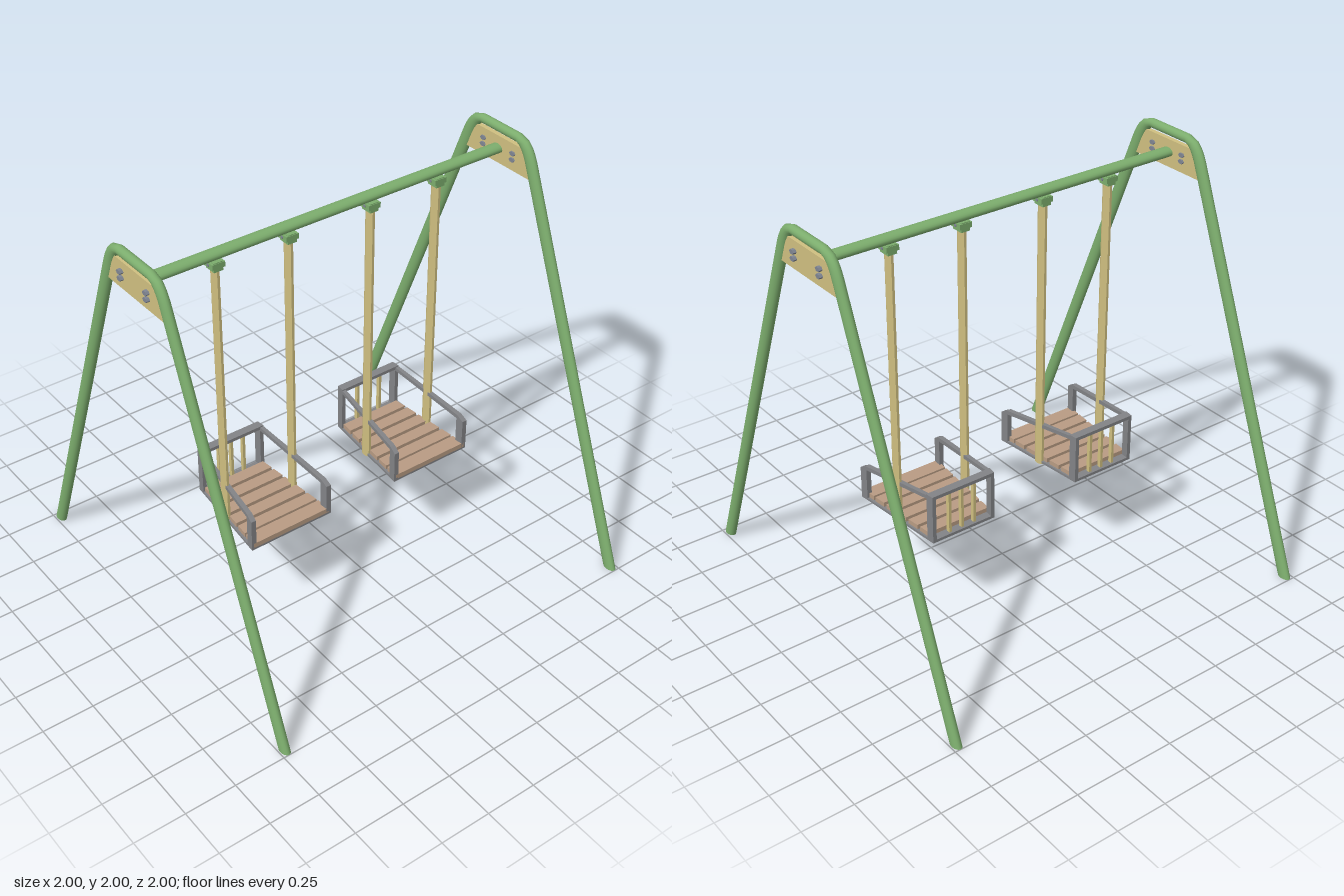
import * as THREE from 'three';

const material = (name, color) => {
  const m = new THREE.MeshStandardMaterial({ color });
  m.name = name;
  return m;
};

export function createModel() {
  const green = material('green paint', 0x7cad6d);
  const tan = material('tan', 0xcfbf80);
  const wood = material('seat wood', 0xb89b83);
  const grey = material('grey metal', 0x828386);
  const steel = material('bolt steel', 0x7f8592);

  const root = new THREE.Group();
  root.name = 'swingSet';
  const add = (parent, name, geometry, mat, x = 0, y = 0, z = 0) => {
    const mesh = new THREE.Mesh(geometry, mat);
    mesh.name = name;
    mesh.position.set(x, y, z);
    parent.add(mesh);
    return mesh;
  };

  const DEPTH = 1.5;   // round tubes are oval, wider along z
  const R = 0.0225;    // frame tube radius
  const SLOPE = 0.4;   // leg spread per unit of height

  // Bent A-frame tube: leg, rounded shoulder, flat top, shoulder, leg
  const v = (z, y) => new THREE.Vector3(0, y, z / DEPTH);
  const path = new THREE.CurvePath();
  path.add(new THREE.LineCurve3(v(0.965, 0), v(0.215, 1.875)));
  path.add(new THREE.QuadraticBezierCurve3(v(0.215, 1.875), v(0.174, 1.9775), v(0.12, 1.9775)));
  path.add(new THREE.LineCurve3(v(0.12, 1.9775), v(-0.12, 1.9775)));
  path.add(new THREE.QuadraticBezierCurve3(v(-0.12, 1.9775), v(-0.174, 1.9775), v(-0.215, 1.875)));
  path.add(new THREE.LineCurve3(v(-0.215, 1.875), v(-0.965, 0)));
  const SEGS = 160, SIDES = 16;
  const frameGeo = new THREE.TubeGeometry(path, SEGS, R, SIDES, false);
  frameGeo.scale(1, 1, DEPTH);
  // Slide the end rings along the legs so the feet are cut flat on the ground
  const fp = frameGeo.attributes.position;
  for (let i = 0; i < fp.count; i++) {
    const ring = Math.floor(i / (SIDES + 1));
    if (ring !== 0 && ring !== SEGS) continue;
    const side = ring === 0 ? 1 : -1;
    fp.setXYZ(i, fp.getX(i), 0, fp.getZ(i) + side * SLOPE * fp.getY(i));
  }
  const footGeo = new THREE.CircleGeometry(R, SIDES).rotateX(Math.PI / 2).scale(1, 1, 0.035 / R);

  // Gusset plate filling the top of each A-frame
  const plateShape = new THREE.Shape([
    new THREE.Vector2(-0.222, 1.805), new THREE.Vector2(0.222, 1.805),
    new THREE.Vector2(0.168, 1.94), new THREE.Vector2(-0.168, 1.94),
  ]);
  const plateGeo = new THREE.ExtrudeGeometry(plateShape, { depth: 0.024, bevelEnabled: false });
  plateGeo.translate(0, 0, -0.012).rotateY(Math.PI / 2);
  const boltGeo = new THREE.CylinderGeometry(0.0115, 0.0115, 0.048, 6)
    .rotateZ(Math.PI / 2).scale(1, 1, DEPTH).toNonIndexed();
  boltGeo.computeVertexNormals();

  for (const s of [1, -1]) {
    const end = new THREE.Group();
    end.name = s > 0 ? 'leftFrame' : 'rightFrame';
    end.position.x = s * 0.972;
    root.add(end);
    add(end, 'frameTube', frameGeo, green);
    add(end, 'frontFoot', footGeo, green, 0, 0, 0.965);
    add(end, 'backFoot', footGeo, green, 0, 0, -0.965);
    add(end, 'gussetPlate', plateGeo, tan);
    for (const z of [0.1, -0.1])
      for (const y of [1.86, 1.892]) add(end, 'bolt', boltGeo, steel, s * 0.004, y, z);
  }

  // Crossbar
  const barGeo = new THREE.CylinderGeometry(R, R, 1.95, 20).rotateZ(Math.PI / 2).scale(1, 1, DEPTH);
  add(root, 'crossbar', barGeo, green, 0, 1.878, -0.004);

  // Seat parts narrow towards the back
  const taper = (geo) => {
    const p = geo.attributes.position;
    for (let i = 0; i < p.count; i++) p.setX(i, p.getX(i) * (1 + 0.51 * p.getZ(i)));
    geo.computeVertexNormals();
    return geo;
  };
  const block = (w, h, d, x, y, z) => taper(new THREE.BoxGeometry(w, h, d).translate(x, y, z));

  // Side frame outline in (z, y), with an open middle
  const pts = (list) => list.map(([z, y]) => new THREE.Vector2(z, y));
  const sideShape = new THREE.Shape(pts([
    [0.257, 0.455], [0.257, 0.62], [0.22, 0.642], [-0.252, 0.702], [-0.252, 0.455],
  ]));
  sideShape.holes.push(new THREE.Path(pts([
    [0.215, 0.467], [0.215, 0.622], [-0.212, 0.678], [-0.212, 0.467],
  ])));
  const sideFrame = (x) => {
    const g = new THREE.ExtrudeGeometry(sideShape, { depth: 0.022, bevelEnabled: false });
    return taper(g.rotateY(-Math.PI / 2).translate(x + 0.011, 0, 0));
  };

  const HANG = 0.188; // hanger offset from the seat centre
  const hangerGeo = new THREE.CylinderGeometry(0.0165, 0.0165, 1.38, 8)
    .rotateY(Math.PI / 8).scale(1, 1, DEPTH * 1.15).toNonIndexed();
  hangerGeo.computeVertexNormals();

  const makeSwing = (name, x) => {
    const swing = new THREE.Group();
    swing.name = name;
    swing.position.x = x;
    root.add(swing);

    // Hangers with brackets clamped under the crossbar
    for (const s of [1, -1]) {
      const hx = s * HANG;
      add(swing, 'hanger', hangerGeo, tan, hx, 1.14, 0);
      add(swing, 'bracketPlate', new THREE.BoxGeometry(0.064, 0.026, 0.066), green, hx, 1.838, 0);
      add(swing, 'bracketBlock', new THREE.BoxGeometry(0.046, 0.045, 0.06), green, hx, 1.832, 0);
      add(swing, 'bracketPin', new THREE.CylinderGeometry(0.007, 0.007, 0.07, 8).rotateZ(Math.PI / 2),
        steel, hx, 1.838, 0);
    }

    // Seat slats and the support running under them
    for (let i = 0; i < 6; i++) {
      const z = -0.18 + i * 0.08;
      add(swing, 'seatSlat', block(0.372, 0.025, i === 5 ? 0.074 : 0.062, 0, 0.4775, z), wood);
    }
    add(swing, 'seatSupport', new THREE.BoxGeometry(0.013, 0.01, 0.46), tan, 0, 0.46, 0);

    // Metal surround
    for (const s of [1, -1]) add(swing, 'sideFrame', sideFrame(s * 0.185), grey);
    add(swing, 'backTopRail', block(0.392, 0.017, 0.042, 0, 0.6935, -0.231), grey);
    add(swing, 'backBottomRail', block(0.372, 0.014, 0.042, 0, 0.462, -0.231), grey);
    add(swing, 'frontBottomRail', block(0.372, 0.011, 0.04, 0, 0.4605, 0.237), grey);

    // Backrest spindles
    for (const bx of [-0.068, 0, 0.068])
      add(swing, 'backSpindle', new THREE.BoxGeometry(0.014, 0.22, 0.02), tan, bx, 0.577, -0.231);
  };
  makeSwing('rightSwing', -0.413);
  makeSwing('leftSwing', 0.406);

  return root;
}
